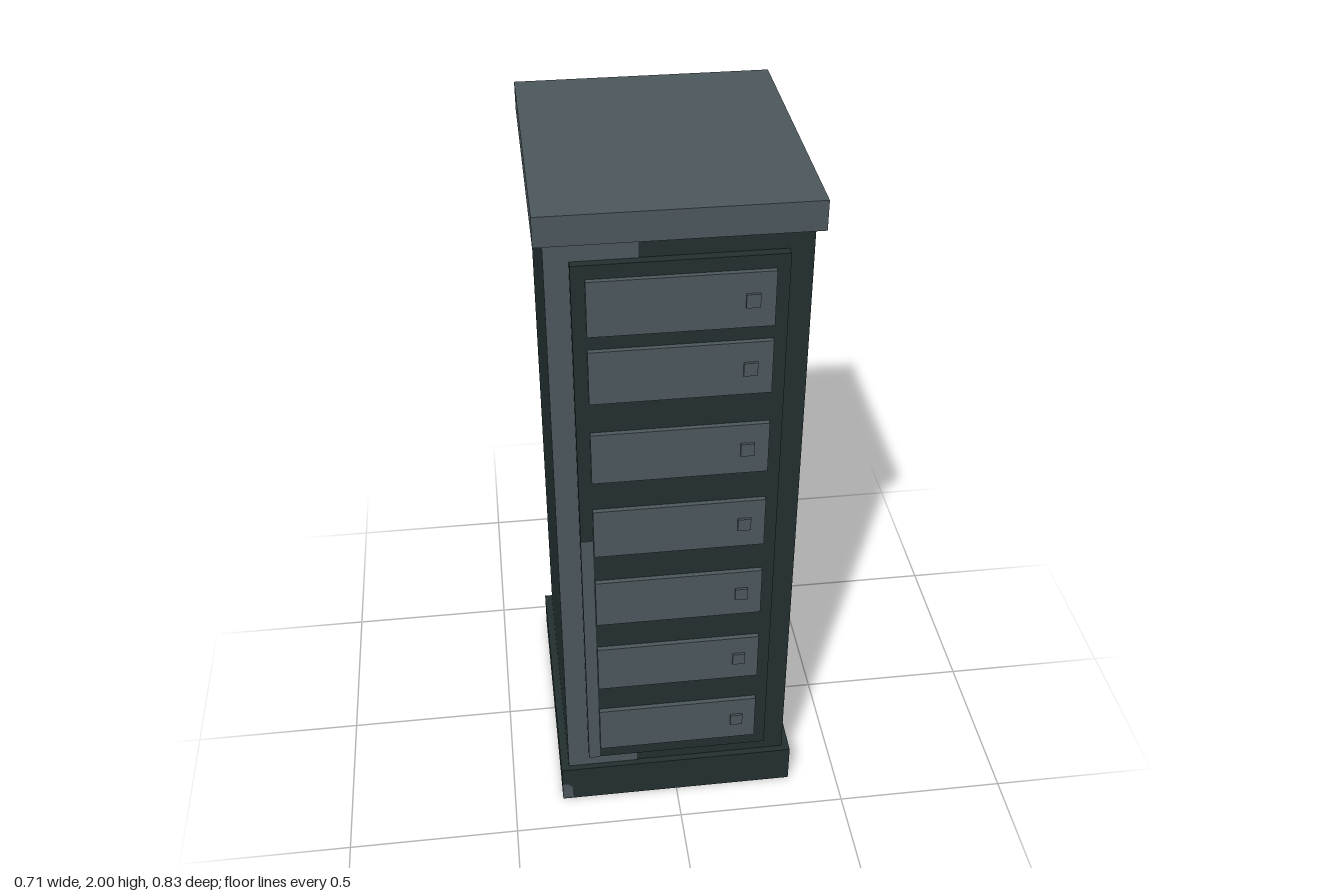
import * as THREE from 'three';

export function createModel() {
  const group = new THREE.Group();
  const dark = new THREE.MeshStandardMaterial({ color: 0x232f2f });
  dark.name = 'dark slate';
  const grey = new THREE.MeshStandardMaterial({ color: 0x4c575c });
  grey.name = 'steel grey';

  // Box given by its minimum and maximum on each axis
  function box(name, material, [x0, x1], [y0, y1], [z0, z1]) {
    const mesh = new THREE.Mesh(new THREE.BoxGeometry(x1 - x0, y1 - y0, z1 - z0), material);
    mesh.position.set((x0 + x1) / 2, (y0 + y1) / 2, (z0 + z1) / 2);
    mesh.name = name;
    group.add(mesh);
  }

  // Cabinet
  box('base', dark, [-0.353, 0.353], [0, 0.125], [-0.417, 0.391]);
  box('body', dark, [-0.33, 0.33], [0.125, 1.92], [-0.397, 0.371]);
  box('lid', grey, [-0.353, 0.353], [1.92, 2], [-0.417, 0.391]);
  box('frontPanel', dark, [-0.268, 0.268], [0.18, 1.868], [0.371, 0.396]);

  // Painted lighter patches around the left of the front
  const bodyZ = [0.371, 0.373];
  box('bodySidePatch', grey, [-0.33, -0.268], [0.125, 1.92], bodyZ);
  box('bodyTopPatch', grey, [-0.268, -0.1], [1.868, 1.92], bodyZ);
  box('bodyBottomPatch', grey, [-0.268, -0.12], [0.125, 0.18], bodyZ);
  box('panelPatch', grey, [-0.268, -0.235], [0.18, 1.025], [0.396, 0.398]);

  // Worn corner on the base
  const corner = new THREE.Shape([[-0.353, 0.005], [-0.322, 0.005], [-0.322, 0.05], [-0.335, 0.065], [-0.353, 0.065]]
    .map(([x, y]) => new THREE.Vector2(x, y)));
  const cornerPatch = new THREE.Mesh(new THREE.ShapeGeometry(corner), grey);
  cornerPatch.position.z = 0.393;
  cornerPatch.name = 'baseCornerPatch';
  group.add(cornerPatch);

  // Drawers, each with a small square knob
  for (const y of [0.305, 0.555, 0.805, 1.055, 1.305, 1.555, 1.753]) {
    box('drawer', grey, [-0.233, 0.233], [y - 0.077, y + 0.077], [0.396, 0.41]);
    box('knob', grey, [0.158, 0.194], [y - 0.019, y + 0.019], [0.41, 0.417]);
  }
  return group;
}
